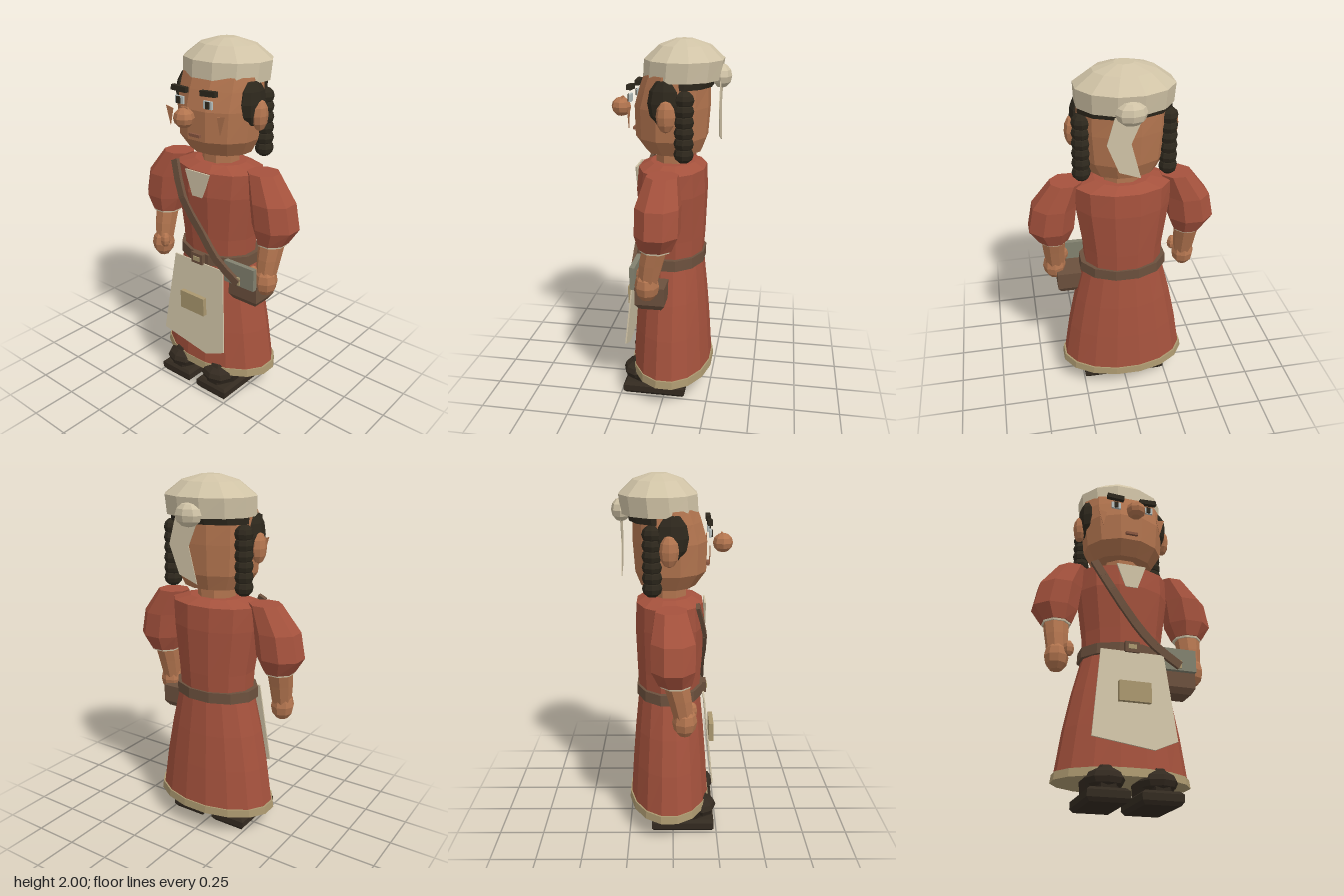
import * as THREE from 'three';

const mat = (name, color) => Object.assign(new THREE.MeshStandardMaterial({ color }), { name });

export function createModel() {
  const model = new THREE.Group();
  model.name = 'villager';
  const red = mat('red cloth', 0xa5523d), skin = mat('skin', 0xb3754f), cream = mat('cream cloth', 0xd0c3a6),
    hair = mat('dark hair', 0x2e281d), leather = mat('leather', 0x6b503d), grey = mat('grey flap', 0x82816f),
    tan = mat('tan trim', 0xab986f), shoe = mat('shoe leather', 0x332a20), white = mat('eye white', 0xb9c2c0),
    lip = mat('lip', 0x8a5740);

  // Faceted mesh
  const add = (name, geo, material, x = 0, y = 0, z = 0, parent = model) => {
    const g = geo.index ? geo.toNonIndexed() : geo;
    g.computeVertexNormals();
    const m = new THREE.Mesh(g, material);
    m.name = name;
    m.position.set(x, y, z);
    parent.add(m);
    return m;
  };
  const box = (name, w, h, d, material, x, y, z) => add(name, new THREE.BoxGeometry(w, h, d), material, x, y, z);
  const blob = (name, rx, ry, rz, material, x, y, z, n = 8) =>
    add(name, new THREE.SphereGeometry(1, n, 6).scale(rx, ry, rz), material, x, y, z);
  const plate = (name, pts, depth, material, x = 0, y = 0, z = 0) =>
    add(name, new THREE.ExtrudeGeometry(new THREE.Shape(pts.map(p => new THREE.Vector2(...p))),
      { depth, bevelEnabled: false }), material, x, y, z);

  // Closed loft through elliptical rings [y, rx, rz, cx, cz], bottom to top
  const loft = (name, rings, n, material) => {
    const pos = [], idx = [], k = 1 / Math.cos(Math.PI / n);
    for (const [y, rx, rz, cx = 0, cz = 0] of rings) {
      for (let j = 0; j < n; j++) {
        const a = (j + 0.5) / n * Math.PI * 2;
        pos.push(cx + Math.cos(a) * rx * k, y, cz + Math.sin(a) * rz * k);
      }
    }
    const last = (rings.length - 1) * n, c = rings.length * n;
    for (const [y, , , cx = 0, cz = 0] of [rings[0], rings[rings.length - 1]]) pos.push(cx, y, cz);
    for (let j = 0; j < n; j++) {
      const q = (j + 1) % n;
      for (let i = 0; i < last; i += n) idx.push(i + j, i + n + j, i + q, i + q, i + n + j, i + n + q);
      idx.push(c, j, q, c + 1, last + q, last + j);
    }
    const g = new THREE.BufferGeometry();
    g.setAttribute('position', new THREE.Float32BufferAttribute(pos, 3));
    g.setIndex(idx);
    return add(name, g, material);
  };

  // Dress
  loft('skirt', [[0.135, 0.355, 0.225, 0, -0.02], [0.4, 0.315, 0.208, 0, -0.02], [0.6, 0.275, 0.192, 0, -0.02],
    [0.8, 0.225, 0.172, 0, -0.02]], 16, red);
  loft('hemBand', [[0.132, 0.365, 0.232, 0, -0.022], [0.175, 0.359, 0.228, 0, -0.022]], 16, tan);
  loft('bodice', [[0.79, 0.21, 0.165, 0, -0.02], [0.95, 0.22, 0.175, 0, -0.02], [1.2, 0.255, 0.188, 0, -0.015],
    [1.33, 0.26, 0.178, 0, -0.018], [1.36, 0.15, 0.12, 0, -0.02]], 12, red);
  plate('neckInset', [[-0.085, 1.33], [-0.035, 1.19], [0.035, 1.19], [0.085, 1.33]], 0.009, cream, 0, 0, 0.168);
  loft('belt', [[0.795, 0.243, 0.182, 0, -0.018], [0.855, 0.24, 0.182, 0, -0.018]], 12, leather);
  box('buckle', 0.08, 0.06, 0.025, leather, 0, 0.825, 0.175);
  box('bucklePin', 0.045, 0.025, 0.01, tan, 0, 0.825, 0.188);

  // Apron hanging off the belt
  const apron = plate('apron', [[-0.172, 0], [-0.225, -0.49], [0.1, -0.54], [0.225, -0.485], [0.178, 0]],
    0.008, cream, 0, 0.8, 0.168);
  apron.rotation.x = -0.1;
  box('apronPocket', 0.172, 0.108, 0.025, tan, 0, 0.56, 0.22);

  // Arms, hands and shoes
  for (const s of [1, -1]) {
    const side = s > 0 ? 'left' : 'right';
    loft(side + 'Sleeve', [[0.985, 0.08, 0.085, s * 0.383, 0.01], [1.07, 0.122, 0.112, s * 0.393, 0],
      [1.21, 0.117, 0.112, s * 0.37, 0], [1.35, 0.083, 0.08, s * 0.3, -0.01]], 8, red);
    loft(side + 'Cuff', [[0.974, 0.074, 0.076, s * 0.383, 0.012], [0.99, 0.076, 0.078, s * 0.383, 0.012]], 8, cream);
    loft(side + 'Forearm', [[0.79, 0.05, 0.05, s * 0.38, 0.055], [0.9, 0.06, 0.06, s * 0.383, 0.035],
      [0.985, 0.066, 0.065, s * 0.385, 0.015]], 8, skin);
    blob(side + 'Hand', 0.066, 0.085, 0.066, skin, s * 0.383, 0.77, 0.06);
    blob(side + 'Thumb', 0.03, 0.045, 0.03, skin, s * 0.327, 0.81, 0.1, 6);
    loft(side + 'Sole', [[0.0, 0.092, 0.165, s * 0.137, 0.057], [0.02, 0.108, 0.178, s * 0.137, 0.057],
      [0.055, 0.108, 0.178, s * 0.137, 0.057], [0.07, 0.09, 0.165, s * 0.137, 0.057]], 4, shoe);
    loft(side + 'ShoeUpper', [[0.065, 0.085, 0.16, s * 0.137, 0.06], [0.125, 0.1, 0.14, s * 0.137, 0.09],
      [0.185, 0.05, 0.08, s * 0.137, 0.11]], 8, shoe);
    blob(side + 'ToeCap', 0.1, 0.055, 0.08, shoe, s * 0.137, 0.12, 0.17);
    loft(side + 'Ankle', [[0.07, 0.06, 0.06, s * 0.137, 0], [0.3, 0.055, 0.055, s * 0.137, 0]], 8, shoe);
  }

  // Neck and head
  loft('neck', [[1.3, 0.1, 0.09, 0, -0.02], [1.45, 0.1, 0.088, 0, -0.02]], 8, skin);
  loft('head', [[1.42, 0.175, 0.145, 0, -0.025], [1.5, 0.222, 0.188, 0, -0.012], [1.66, 0.238, 0.195, 0, -0.016],
    [1.76, 0.24, 0.18, 0, -0.03], [1.83, 0.235, 0.165, 0, -0.04]], 12, skin);
  loft('hairBand', [[1.765, 0.236, 0.165, 0, -0.062], [1.83, 0.238, 0.18, 0, -0.065]], 12, hair);
  blob('nose', 0.056, 0.052, 0.054, skin, 0, 1.64, 0.266);
  plate('noseBridge', [[-0.045, 1.64], [0.045, 1.64], [0.022, 1.695], [-0.022, 1.695]], 0.009, skin, 0, 0, 0.255);
  box('mouth', 0.07, 0.016, 0.015, lip, 0, 1.532, 0.188);
  for (const s of [1, -1]) {
    const side = s > 0 ? 'left' : 'right';
    box(side + 'Eye', 0.056, 0.04, 0.012, white, s * 0.096, 1.705, 0.192);
    box(side + 'Pupil', 0.022, 0.036, 0.012, hair, s * 0.098, 1.705, 0.2);
    box(side + 'Brow', 0.1, 0.028, 0.025, hair, s * 0.098, 1.762, 0.19).rotation.z = s * 0.05;
    const tri = [[0.2, 1.66], [0.15, 1.65], [0.17, 1.56]].map(([x, y]) => [x * s, y]);
    plate(side + 'Cheek', tri, 0.004, skin, 0, 0, 0.185);
    blob(side + 'Ear', 0.038, 0.082, 0.05, skin, s * 0.26, 1.64, -0.02);
    blob(side + 'SideHair', 0.05, 0.125, 0.09, hair, s * 0.22, 1.7, -0.01);
    // Braid as a chain of beads
    for (let i = 0; i < 6; i++) {
      blob(side + 'Braid', 0.05, 0.047, 0.052, hair, s * (0.222 + i * 0.001), 1.72 - i * 0.055, -0.107);
    }
  }

  // Cap with a knot and tail behind
  loft('cap', [[1.8, 0.243, 0.2, 0, -0.068], [1.9, 0.248, 0.203, 0, -0.078], [1.97, 0.155, 0.13, 0, -0.078],
    [2.0, 0.05, 0.045, 0, -0.075]], 12, cream);
  blob('capKnot', 0.08, 0.062, 0.053, cream, 0, 1.815, -0.272);
  plate('capTail', [[-0.06, 1.8], [0.0, 1.66], [-0.05, 1.47], [0.06, 1.51], [0.12, 1.66], [0.08, 1.8]],
    0.004, cream, 0, 0, -0.275);

  // Shoulder strap swept as a flat ribbon
  const path = new THREE.CatmullRomCurve3([[-0.2, 1.34, 0.13], [-0.11, 1.16, 0.172], [0.02, 0.98, 0.165],
    [0.13, 0.855, 0.17], [0.27, 0.76, 0.165]].map(p => new THREE.Vector3(...p)));
  const steps = 8;
  for (let i = 0; i < steps; i++) {
    const a = path.getPoint(i / steps), b = path.getPoint((i + 1) / steps);
    const m = box('shoulderStrap', 0.046, 0.02, a.distanceTo(b) + 0.012, leather, 0, 0, 0);
    const dir = b.clone().sub(a).normalize();
    const across = new THREE.Vector3(-dir.y, dir.x, 0).normalize();
    m.quaternion.setFromRotationMatrix(new THREE.Matrix4().makeBasis(across, dir.clone().cross(across), dir));
    m.position.copy(a).add(b).multiplyScalar(0.5);
  }

  // Satchel on the left hip
  loft('satchel', [[0.618, 0.075, 0.06, 0.28, 0.05], [0.65, 0.095, 0.08, 0.28, 0.05], [0.75, 0.095, 0.08, 0.28, 0.05]],
    4, leather);
  box('satchelFlap', 0.2, 0.125, 0.028, grey, 0.273, 0.798, 0.142);
  box('satchelClasp', 0.035, 0.045, 0.01, tan, 0.268, 0.768, 0.162);
  return model;
}
